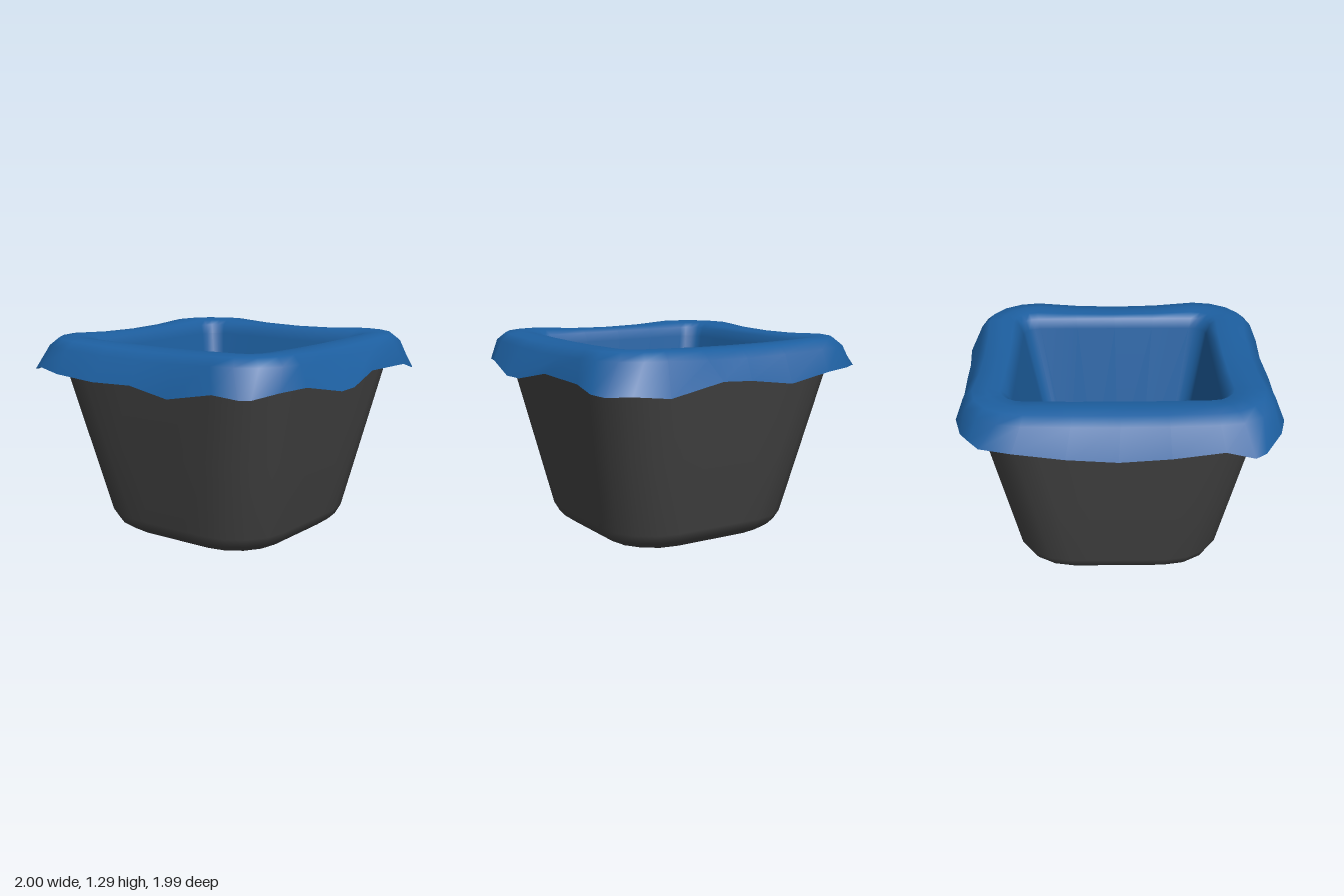
import * as THREE from 'three';

// Rounded square ring of 32 points, counter-clockwise seen from above, starting on the front side;
// sag pulls the middle of each side down and in
function ring(half, y, r, cx = -0.015, cz = 0.01, sag = 0) {
  const pts = [], s = half - r;
  for (let side = 0; side < 4; side++) {
    const c = [0, 1, 0, -1][side], n = [1, 0, -1, 0][side];
    const local = [-1, -0.5, 0, 0.5, 1].map(t => [t * s, half, sag * (1 - t * t)]);
    for (let k = 1; k < 4; k++) {
      const a = k * Math.PI / 8;
      local.push([s + r * Math.sin(a), s + r * Math.cos(a), 0]);
    }
    for (const [u, v, d] of local) {
      pts.push([cx + u * n + (v - d) * c, y - d, cz - u * c + (v - d) * n]);
    }
  }
  return pts;
}

// Smooth skin through a stack of rings
function loft(rings) {
  const n = rings[0].length, index = [];
  for (let k = 0; k < rings.length - 1; k++) {
    for (let i = 0; i < n; i++) {
      const j = (i + 1) % n, a = k * n + i, b = k * n + j;
      index.push(a, b, b + n, a, b + n, a + n);
    }
  }
  const geo = new THREE.BufferGeometry();
  geo.setAttribute('position', new THREE.Float32BufferAttribute(rings.flat(2), 3));
  geo.setIndex(index);
  geo.computeVertexNormals();
  return geo;
}

export function createModel() {
  const group = new THREE.Group();
  const binMat = new THREE.MeshStandardMaterial({ color: 0x434343 });
  binMat.name = 'charcoal plastic';
  const linerMat = new THREE.MeshStandardMaterial({ color: 0x1d5fa0, side: THREE.DoubleSide });
  linerMat.name = 'blue liner';

  // Tapered bin: base, outer wall, rim and inner wall
  const bin = new THREE.Mesh(loft([
    ring(0.001, 0, 0.0005), ring(0.46, 0, 0.24), ring(0.55, 0.02, 0.3), ring(0.62, 0.07, 0.34),
    ring(0.65, 0.13, 0.35), ring(0.75, 0.62, 0.35), ring(0.848, 1.1, 0.35), ring(0.865, 1.2, 0.35),
    ring(0.83, 1.25, 0.31), ring(0.72, 1.25, 0.17), ring(0.665, 1.18, 0.1),
    ring(0.45, 0.18, 0.07), ring(0.4, 0.12, 0.05), ring(0.001, 0.12, 0.0005),
  ]), binMat);
  bin.name = 'bin';

  // Wavy hem of the liner as x, y, z: front, left, back and right sides, each with its corner
  const hem = [
    [-0.6, 1.09, 0.99], [-0.3, 1.07, 0.99], [0, 1.08, 0.99], [0.28, 1.03, 0.99], [0.6, 1.09, 0.99],
    [0.75, 1.07, 0.95], [0.81, 1.07, 0.91], [0.9, 1.1, 0.77],
    [0.955, 1.11, 0.58], [1.0, 1.05, 0.27], [0.99, 1.05, 0.11], [0.95, 1.11, -0.18], [0.95, 1.1, -0.6],
    [0.94, 1.06, -0.74], [0.9, 1.05, -0.83], [0.79, 1.06, -0.945],
    [0.58, 1.04, -1.0], [0.2, 1.1, -0.96], [0, 1.09, -0.96], [-0.3, 1.05, -0.96], [-0.58, 1.1, -0.96],
    [-0.78, 1.11, -0.91], [-0.87, 1.11, -0.85], [-0.94, 1.1, -0.79],
    [-1.0, 1.1, -0.6], [-1.0, 1.06, -0.3], [-1.0, 1.04, 0], [-1.0, 1.06, 0.3], [-1.0, 1.1, 0.6],
    [-1.0, 1.06, 0.77], [-0.96, 1.07, 0.835], [-0.8, 1.11, 0.94],
  ];

  // Liner: hangs over the rim, then lines the inside down to its floor
  const liner = new THREE.Mesh(loft([
    hem, ring(0.92, 1.235, 0.36, -0.015, 0.01, 0.02), ring(0.865, 1.283, 0.32, -0.015, 0.01, 0.02),
    ring(0.78, 1.29, 0.24, -0.015, 0.01, 0.02), ring(0.69, 1.28, 0.15, -0.015, 0.0, 0.01),
    ring(0.65, 1.25, 0.12, -0.02, 0), ring(0.625, 1.19, 0.11, -0.02, 0),
    ring(0.43, 0.25, 0.08, -0.01, 0.02), ring(0.405, 0.19, 0.06, -0.01, 0.02),
    ring(0.35, 0.16, 0.05, -0.01, 0.02), ring(0.001, 0.16, 0.0005, -0.01, 0.02),
  ]), linerMat);
  liner.name = 'liner';

  group.add(bin, liner);
  return group;
}
